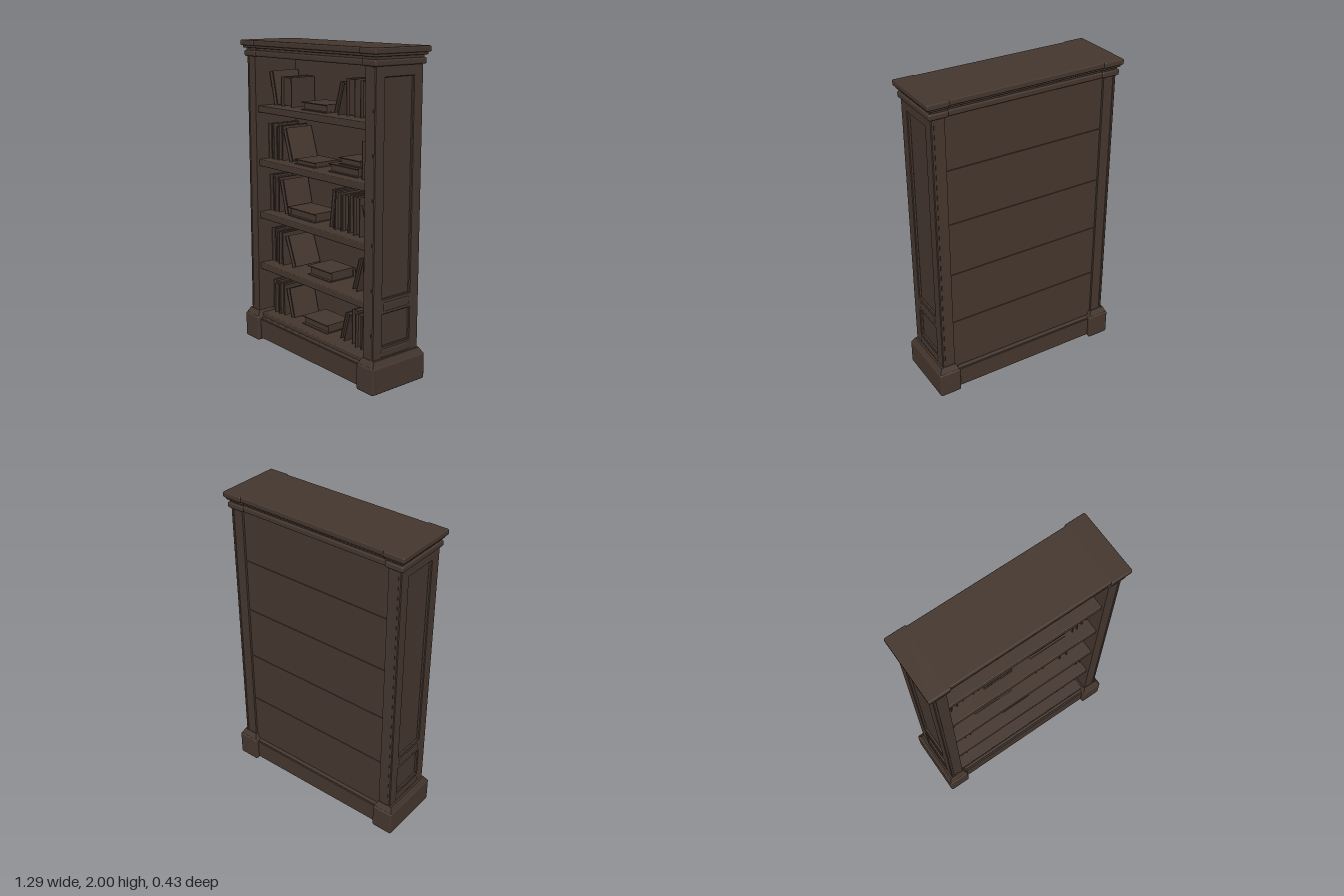
import * as THREE from 'three';
import { RoundedBoxGeometry } from 'three/addons/geometries/RoundedBoxGeometry.js';

export function createModel() {
  const root = new THREE.Group();
  const wood = new THREE.MeshStandardMaterial({ color: 0x44362e });
  wood.name = 'dark walnut';

  const add = (name, geo, parent = root) => {
    const mesh = new THREE.Mesh(geo, wood);
    mesh.name = name;
    parent.add(mesh);
  };
  // Box given by its limits, softened when a radius is passed
  const box = (name, x0, x1, y0, y1, z0, z1, r = 0, parent = root) => {
    const s = [x1 - x0, y1 - y0, z1 - z0];
    const geo = r ? new RoundedBoxGeometry(...s, 2, r) : new THREE.BoxGeometry(...s);
    geo.translate((x0 + x1) / 2, (y0 + y1) / 2, (z0 + z1) / 2);
    add(name, geo, parent);
  };
  // Rectangle outline, centred on x
  const rect = (C, half, y0, y1) => {
    const p = new C();
    p.moveTo(-half, y0);
    p.lineTo(half, y0);
    p.lineTo(half, y1);
    p.lineTo(-half, y1);
    p.closePath();
    return p;
  };

  // Sides: core board, panelled outer frame, mouldings and foot block
  for (const s of [1, -1]) {
    const side = new THREE.Group();
    side.name = s > 0 ? 'leftSide' : 'rightSide';
    root.add(side);
    const sideBox = (name, a, b, y0, y1, half, r) =>
      box(name, ...(s > 0 ? [a, b] : [-b, -a]), y0, y1, -half, half, r, side);
    sideBox('sideBoard', 0.525, 0.592, 0.16, 1.93, 0.18, 0);

    const frame = rect(THREE.Shape, 0.178, 0.17, 1.92);
    frame.holes.push(rect(THREE.Path, 0.113, 0.56, 1.84), rect(THREE.Path, 0.113, 0.27, 0.475));
    const frameGeo = new THREE.ExtrudeGeometry(frame, {
      depth: 0.012, bevelSize: 0.004, bevelThickness: 0.005, bevelSegments: 1,
    });
    frameGeo.rotateY(s * Math.PI / 2);
    frameGeo.translate(s * 0.593, 0, 0);
    add('panelFrame', frameGeo, side);

    sideBox('panelRail', 0.58, 0.614, 0.487, 0.545, 0.103, 0.012);
    sideBox('lowerMoulding', 0.58, 0.614, 0.205, 0.26, 0.12, 0.012);
    sideBox('footBlock', 0.5, 0.645, 0, 0.168, 0.213, 0.012);

    // Sloped shoulder above the foot
    const slope = new THREE.BoxGeometry(0.139, 0.042, 0.418).toNonIndexed();
    const p = slope.attributes.position;
    for (let i = 0; i < p.count; i++) {
      if (p.getY(i) > 0) p.setXYZ(i, p.getX(i) * 0.72, p.getY(i), p.getZ(i) * 0.875);
    }
    slope.computeVertexNormals();
    slope.translate(s * 0.5725, 0.181, 0);
    add('footShoulder', slope, side);
  }

  // Cornice: stacked mouldings that step out at the corners
  const cornice = new THREE.Group();
  cornice.name = 'cornice';
  root.add(cornice);
  const moulding = (y0, y1, w, r) => {
    const d = w - 0.429;
    box('corniceMiddle', -0.53, 0.53, y0, y1, -d + 0.008, d - 0.008, r, cornice);
    box('corniceLeftEnd', 0.505, w, y0, y1, -d, d, r, cornice);
    box('corniceRightEnd', -w, -0.505, y0, y1, -d, d, r, cornice);
  };
  moulding(1.965, 2, 0.642, 0.008);
  moulding(1.95, 1.97, 0.63, 0.006);
  moulding(1.925, 1.955, 0.613, 0);
  moulding(1.898, 1.935, 0.625, 0.01);

  // Plinth between the feet
  box('plinth', -0.51, 0.51, 0.015, 0.145, -0.188, 0.188);
  box('plinthLedge', -0.51, 0.51, 0.13, 0.158, -0.178, 0.178, 0.006);

  // Evenly spaced shelves, each with a back board above it and narrow joints between
  const PITCH = 0.35;
  const shelfTop = (i) => 0.185 + PITCH * i;
  for (let i = 0; i < 5; i++) {
    const y = shelfTop(i);
    box('shelf', -0.53, 0.53, y - 0.044, y, -0.158, 0.162, 0.006);
    box('backBoard', -0.53, 0.53, y - 0.02, y + PITCH - 0.024, -0.166, -0.142);
  }

  // Book: cover wrapped round a curved spine, with an inset page block
  function book(t, h, d) {
    const g = new THREE.Group();
    g.name = 'book';
    const c = Math.min(0.006, t * 0.15), a = t / 2, b = d / 2, k = Math.min(0.014, t * 0.3);
    const cover = new THREE.Shape();
    cover.moveTo(-a, b);
    cover.lineTo(-a, -b + k);
    cover.quadraticCurveTo(-a * 0.8, -b, 0, -b);
    cover.quadraticCurveTo(a * 0.8, -b, a, -b + k);
    cover.lineTo(a, b);
    cover.lineTo(a - c, b);
    cover.lineTo(a - c, -b + k + c);
    cover.lineTo(-a + c, -b + k + c);
    cover.lineTo(-a + c, b);
    cover.closePath();
    const geo = new THREE.ExtrudeGeometry(cover, { depth: h, bevelEnabled: false, curveSegments: 4 });
    geo.rotateX(-Math.PI / 2);
    geo.rotateY(Math.PI);
    add('cover', geo, g);
    box('pages', -a + c, a - c, 0.006, h - 0.006, -b + 0.008, b - k - c, 0, g);
    root.add(g);
    return g;
  }
  const BACK = -0.135;

  // Row of upright books filling x0 to x1, heights varying slightly
  function row(shelf, x0, x1, count, height) {
    const t = (x1 - x0) / count;
    for (let i = 0; i < count; i++) {
      const d = 0.2 + ((i * 3 + shelf) % 4) * 0.008;
      const g = book(t - 0.002, height - ((i * 2) % 3) * 0.006, d);
      g.position.set(x0 + t * (i + 0.5), shelfTop(shelf), BACK + d / 2);
    }
  }
  // Leaning book, from the x of its bottom and top centres
  function lean(shelf, xb, xt, height) {
    const t = 0.04, d = 0.21;
    const angle = Math.atan2(xb - xt, height);
    const lift = Math.abs(Math.sin(angle)) * t / 2;
    const g = book(t, (height - lift * 2) / Math.cos(angle), d);
    g.rotation.z = angle;
    g.position.set(xb, shelfTop(shelf) + lift, BACK + d / 2);
  }
  // Lying book with its spine to the front
  function lie(shelf, x0, x1, thick, raise = 0) {
    const d = 0.21 - raise * 0.5;
    const g = book(thick, x1 - x0, d);
    g.rotation.z = Math.PI / 2;
    g.position.set(x1, shelfTop(shelf) + raise + thick / 2, BACK + 0.01 + d / 2);
  }

  // Bottom shelf
  row(0, -0.519, -0.373, 3, 0.215);
  lean(0, -0.29, -0.345, 0.2);
  lie(0, -0.175, 0.075, 0.056);
  lean(0, 0.212, 0.268, 0.193);
  row(0, 0.292, 0.519, 4, 0.224);

  // Second shelf
  row(1, -0.519, -0.373, 3, 0.228);
  lean(1, -0.27, -0.355, 0.21);
  lie(1, -0.115, 0.108, 0.062);
  lean(1, 0.325, 0.385, 0.213);
  row(1, 0.403, 0.523, 3, 0.226);

  // Third shelf
  row(2, -0.521, -0.428, 2, 0.243);
  lean(2, -0.345, -0.402, 0.226);
  lie(2, -0.322, -0.048, 0.057);
  lean(2, 0.108, 0.14, 0.245);
  row(2, 0.145, 0.385, 4, 0.237);
  lean(2, 0.464, 0.402, 0.205);

  // Fourth shelf
  row(3, -0.519, -0.383, 3, 0.23);
  lean(3, -0.293, -0.365, 0.217);
  lie(3, -0.245, -0.045, 0.032);
  lie(3, 0.09, 0.35, 0.052);
  lie(3, 0.155, 0.342, 0.043, 0.052);
  row(3, 0.397, 0.524, 3, 0.224);

  // Top shelf
  lean(4, -0.448, -0.5, 0.222);
  row(4, -0.41, -0.298, 1, 0.187);
  lie(4, -0.175, 0.06, 0.05);
  lean(4, 0.15, 0.212, 0.2);
  row(4, 0.23, 0.31, 1, 0.22);
  row(4, 0.352, 0.438, 1, 0.215);

  return root;
}
